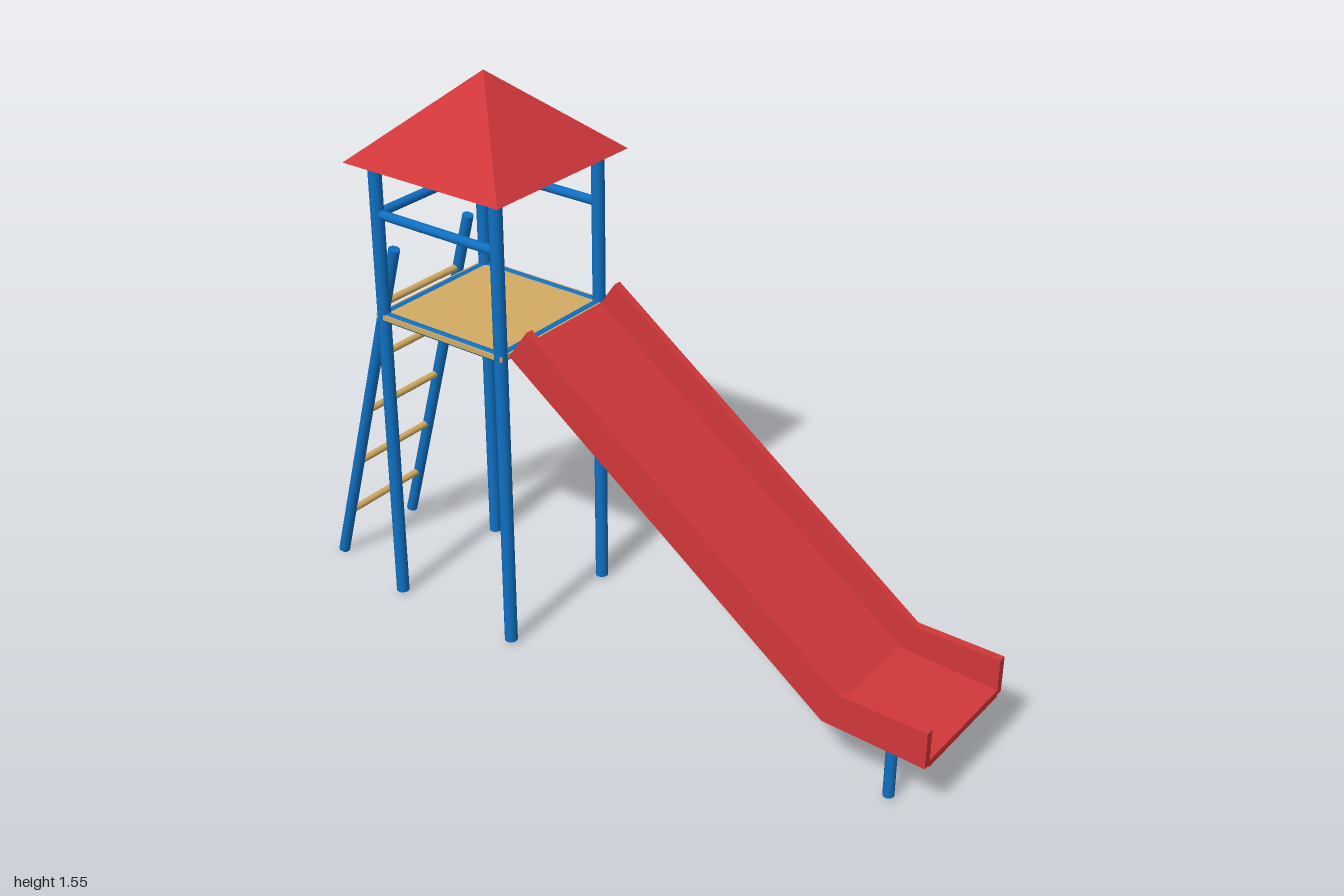
import * as THREE from 'three';

const red = new THREE.MeshStandardMaterial({ color: 0xd0373a });
const roofRed = new THREE.MeshStandardMaterial({ color: 0xd0373a, flatShading: true });
const blue = new THREE.MeshStandardMaterial({ color: 0x0f6fc0 });
const wood = new THREE.MeshStandardMaterial({ color: 0xd2ab62 });

const V = (x, y, z) => new THREE.Vector3(x, y, z);

function add(parent, name, geometry, material) {
  const mesh = new THREE.Mesh(geometry, material);
  mesh.name = name;
  parent.add(mesh);
  return mesh;
}

// Round bar running between two points
function bar(parent, name, a, b, radius, material) {
  const mesh = add(parent, name, new THREE.CylinderGeometry(radius, radius, a.distanceTo(b), 16), material);
  mesh.position.copy(a).add(b).multiplyScalar(0.5);
  mesh.quaternion.setFromUnitVectors(V(0, 1, 0), b.clone().sub(a).normalize());
  return mesh;
}

// Side outline given as [z, y] points, extruded across x and centred on x
function panel(parent, name, outline, width, x) {
  const shape = new THREE.Shape(outline.map(([z, y]) => new THREE.Vector2(z, y)));
  const geometry = new THREE.ExtrudeGeometry(shape, { depth: width, bevelEnabled: false });
  geometry.rotateY(-Math.PI / 2).translate(x + width / 2, 0, 0);
  return add(parent, name, geometry, red);
}

function buildTower() {
  const tower = new THREE.Group();
  tower.name = 'tower';
  const half = 0.204, zMid = -0.488;
  const zFront = zMid + half, zBack = zMid - half;

  // Posts, with platform beams and handrails along each side
  for (const x of [-half, half]) {
    for (const z of [zFront, zBack]) bar(tower, 'post', V(x, 0.007, z), V(x, 1.33, z), 0.018, blue);
    bar(tower, 'sideBeam', V(x, 0.88, zFront), V(x, 0.88, zBack), 0.014, blue);
    bar(tower, 'sideRail', V(x, 1.175, zFront), V(x, 1.175, zBack), 0.013, blue);
  }
  // The front stays open above the slide
  bar(tower, 'frontBeam', V(-half, 0.88, zFront), V(half, 0.88, zFront), 0.014, blue);
  bar(tower, 'backBeam', V(-half, 0.88, zBack), V(half, 0.88, zBack), 0.014, blue);
  bar(tower, 'backRail', V(-half, 1.175, zBack), V(half, 1.175, zBack), 0.013, blue);

  add(tower, 'platform', new THREE.BoxGeometry(0.438, 0.014, 0.438), wood).position.set(0, 0.883, zMid);

  // Four-sided roof
  const roof = new THREE.ConeGeometry(0.26 * Math.SQRT2, 0.23, 4).rotateY(Math.PI / 4);
  add(tower, 'roof', roof, roofRed).position.set(0, 1.435, zMid);
  return tower;
}

function buildLadder() {
  const ladder = new THREE.Group();
  ladder.name = 'ladder';
  const foot = V(0, 0.004, -0.984), top = V(0, 1.053, -0.696);
  for (const x of [-0.147, 0.147]) {
    bar(ladder, 'ladderRail', foot.clone().setX(x), top.clone().setX(x), 0.016, blue);
  }
  for (let i = 0; i < 5; i++) {
    const p = foot.clone().lerp(top, 0.14 + i * 0.175);
    bar(ladder, 'rung', p.clone().setX(-0.147), p.clone().setX(0.147), 0.01, wood);
  }
  return ladder;
}

function buildSlide() {
  const slide = new THREE.Group();
  slide.name = 'slide';
  // Sloping floor and run-out floor
  panel(slide, 'slideFloor', [[-0.265, 0.885], [0.71, 0.181], [0.722, 0.198], [-0.253, 0.902]], 0.344, 0);
  panel(slide, 'runOutFloor', [[0.7, 0.18], [1, 0.165], [1, 0.185], [0.7, 0.2]], 0.344, 0);
  // Side walls follow both floors
  for (const x of [-0.182, 0.182]) {
    panel(slide, 'sideWall', [
      [-0.265, 0.885], [0.71, 0.181], [1, 0.172], [1, 0.277], [0.755, 0.277], [-0.205, 0.97],
    ], 0.022, x);
  }
  for (const x of [-0.147, 0.147]) bar(slide, 'slideLeg', V(x, 0.007, 0.885), V(x, 0.18, 0.885), 0.015, blue);
  return slide;
}

export function createModel() {
  const model = new THREE.Group();
  model.name = 'playgroundSlide';
  model.add(buildTower(), buildLadder(), buildSlide());
  return model;
}
